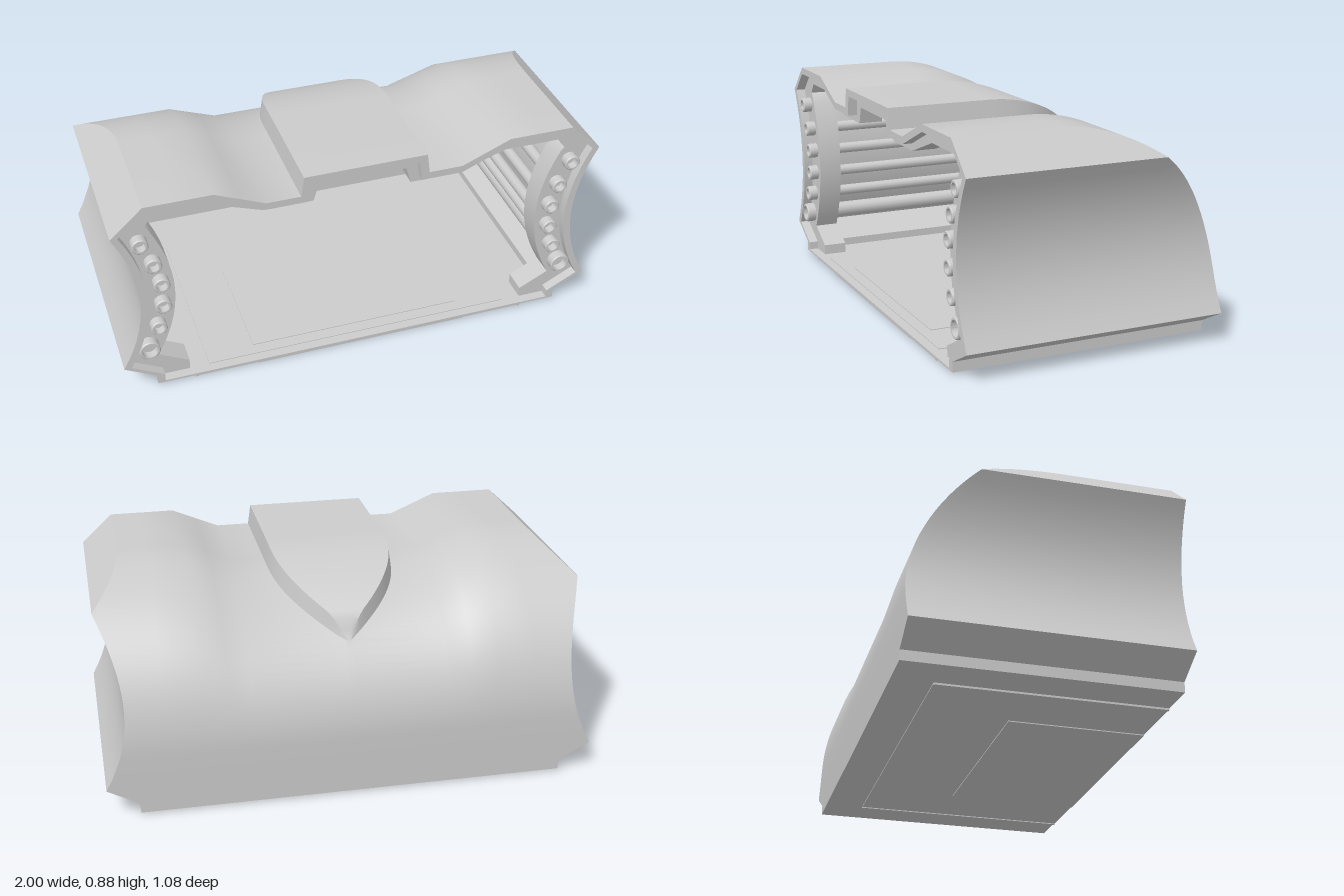
import * as THREE from 'three';
import { toCreasedNormals } from 'three/addons/utils/BufferGeometryUtils.js';

const mat = new THREE.MeshStandardMaterial({ color: 0xcccccc });
const FRONT = 0.54, CZ = 0.1, CY = 0.25, R = 0.64, TOP = 0.885, VALLEY = 0.8, TIP = 0.485;

// half width of the body at height y: foot, flare, concave flank, top chamfer
function halfWidth(y) {
  if (y <= 0.05) return 0.87;
  if (y < 0.12) return 0.87 + (y - 0.05) / 0.07 * 0.13;
  if (y <= 0.765) return 0.91 + 0.09 * ((y - 0.4425) / 0.3225) ** 2;
  return 1 - (y - 0.765) * 0.13 / 0.12;
}

const flankLevels = [0.765];
for (let i = 1; i <= 14; i++) flankLevels.push(0.765 - i * 0.645 / 14);
flankLevels.push(0.05, 0.01);

// one cross-section, inset by t, from the -x foot over the roof to the +x foot
function section(t, angle, drop = 0) {
  const s = Math.cos(angle), back = (R - t) * Math.sin(angle);
  const w = 0.25 * Math.max(0, 1 - (R * Math.sin(angle) / TIP) ** 3);
  const rise = (TOP - VALLEY) * Math.min(1, w / 0.06);
  const roof = (x, top) => [x, Math.max(0.01, CY + (top - t - CY) * s - drop)];
  const wi = Math.max(0, w - t);
  const half = [roof(0, VALLEY + rise), roof(wi / 2, VALLEY + rise), roof(wi, VALLEY + rise),
    roof(wi + 0.012, VALLEY), roof(0.4, VALLEY), roof(0.5, 0.8425), roof(0.6, TOP), roof(0.75, TOP)];
  const H = roof(0, TOP)[1];
  half.push([halfWidth(H) - t, H]);
  for (const level of flankLevels) {
    const y = Math.min(level, H);
    half.push([halfWidth(y) - t, y]);
  }
  const mirrored = half.slice(1).reverse().map(([x, y]) => [-x, y]);
  return { pts: [...mirrored, ...half], z: CZ - back };
}

// all cross-sections of a skin: straight front, quarter-round back, upright back wall
function skinRows(t) {
  const rows = [{ ...section(t, 0), z: FRONT }];
  const tip = Math.asin(TIP / R);
  for (let i = 0; i <= 22; i++) rows.push(section(t, tip * i / 22));
  for (let i = 1; i <= 12; i++) rows.push(section(t, tip + (Math.PI / 2 - tip) * i / 12));
  for (const d of [0.07, 0.13, 0.2, 0.24]) rows.push(section(t, Math.PI / 2, d));
  return rows;
}

function loft(rows, flip) {
  const pos = [], a = new THREE.Vector3(), b = new THREE.Vector3();
  const tri = (p, q, r) => {
    a.subVectors(q, p); b.subVectors(r, p);
    if (a.cross(b).length() < 1e-8) return;
    for (const v of flip ? [p, r, q] : [p, q, r]) pos.push(v.x, v.y, v.z);
  };
  const grid = rows.map(r => r.pts.map(([x, y]) => new THREE.Vector3(x, y, r.z)));
  for (let i = 0; i < grid.length - 1; i++) {
    for (let k = 0; k < grid[0].length - 1; k++) {
      tri(grid[i][k], grid[i][k + 1], grid[i + 1][k]);
      tri(grid[i][k + 1], grid[i + 1][k + 1], grid[i + 1][k]);
    }
  }
  const geo = new THREE.BufferGeometry();
  geo.setAttribute('position', new THREE.Float32BufferAttribute(pos, 3));
  return toCreasedNormals(geo, 0.5);
}

export function createModel() {
  const model = new THREE.Group();
  const add = (name, geo, x = 0, y = 0, z = 0, parent = model) => {
    const mesh = new THREE.Mesh(geo, mat);
    mesh.name = name;
    mesh.position.set(x, y, z);
    parent.add(mesh);
    return mesh;
  };

  // housing: outer skin, inner skin and the front edge joining them
  const outer = skinRows(0), inner = skinRows(0.03);
  add('outerShell', loft(outer, false));
  add('innerShell', loft(inner, true));
  add('frontEdge', loft([outer[0], inner[0]], true));

  // front frame: roof rib, curved end plates and feet in one piece
  const innerHalf = [[0, 0.81], [0.18, 0.81], [0.2, 0.74], [0.4, 0.74], [0.6, 0.81], [0.83, 0.81], [0.865, 0.765]];
  for (let i = 0; i <= 14; i++) {
    const y = 0.755 - i * 0.63 / 14;
    innerHalf.push([0.765 + 0.09 * ((y - 0.44) / 0.32) ** 2, y]);
  }
  innerHalf.push([0.73, 0.06], [0.73, 0.012]);
  const innerLine = [...innerHalf.slice(1).reverse().map(([x, y]) => [-x, y]), ...innerHalf];
  const outline = [...section(0.015, 0).pts, ...innerLine.reverse()];
  const frameShape = new THREE.Shape(outline.map(p => new THREE.Vector2(...p)));
  const frameGeo = new THREE.ExtrudeGeometry(frameShape, { depth: 0.1, bevelEnabled: false });
  add('frontFrame', toCreasedNormals(frameGeo, 0.5), 0, 0, 0.4);

  // U-shaped tubes along the flanks and across the back, with end sockets
  const tubes = new THREE.Group();
  tubes.name = 'tubes';
  model.add(tubes);
  const rails = [[0.89, 0.705, 0.024], [0.845, 0.6, 0.024], [0.82, 0.5, 0.024],
    [0.82, 0.395, 0.024], [0.845, 0.29, 0.024], [0.89, 0.185, 0.034]];
  for (const [x, y, r] of rails) {
    const lift = Math.max(0, y - CY) / 0.52;
    const zb = CZ - 0.61 * Math.sqrt(1 - lift * lift) + r + 0.03;
    const c = 0.16, V = (px, pz) => new THREE.Vector3(px, y, pz);
    const path = new THREE.CurvePath();
    path.add(new THREE.LineCurve3(V(-x, 0.48), V(-x, zb + c)));
    path.add(new THREE.QuadraticBezierCurve3(V(-x, zb + c), V(-x, zb), V(-x + c, zb)));
    path.add(new THREE.LineCurve3(V(-x + c, zb), V(x - c, zb)));
    path.add(new THREE.QuadraticBezierCurve3(V(x - c, zb), V(x, zb), V(x, zb + c)));
    path.add(new THREE.LineCurve3(V(x, zb + c), V(x, 0.48)));
    add('tube', new THREE.TubeGeometry(path, 90, r, 14), 0, 0, 0, tubes);

    const R2 = r + 0.009;
    const profile = [[R2, 0], [R2, 0.05], [R2 - 0.004, 0.054], [r - 0.002, 0.054], [r - 0.002, 0.02], [0, 0.02]];
    const socket = new THREE.LatheGeometry(profile.map(p => new THREE.Vector2(...p)), 20);
    socket.rotateX(Math.PI / 2);
    for (const side of [-1, 1]) add('tubeSocket', toCreasedNormals(socket, 0.5), side * x, y, 0.485, tubes);
  }

  // floor with shallow stepped panels below and above
  add('floor', new THREE.BoxGeometry(1.74, 0.008, 1.08), 0, 0.012, 0);
  add('floorPanel', new THREE.BoxGeometry(1.42, 0.008, 0.92), 0, 0.008, 0.08);
  add('accessPanel', new THREE.BoxGeometry(0.9, 0.006, 0.56), 0, 0.003, 0.26);
  add('innerFloorPanel', new THREE.BoxGeometry(1.3, 0.004, 0.8), 0, 0.017, 0.1);
  add('innerAccessPanel', new THREE.BoxGeometry(0.9, 0.004, 0.5), 0, 0.02, 0.2);
  // raised strips framing the underside panel
  for (const side of [-1, 1]) add('floorStrip', new THREE.BoxGeometry(0.012, 0.01, 0.92), side * 0.71, 0.005, 0.08);
  return model;
}
